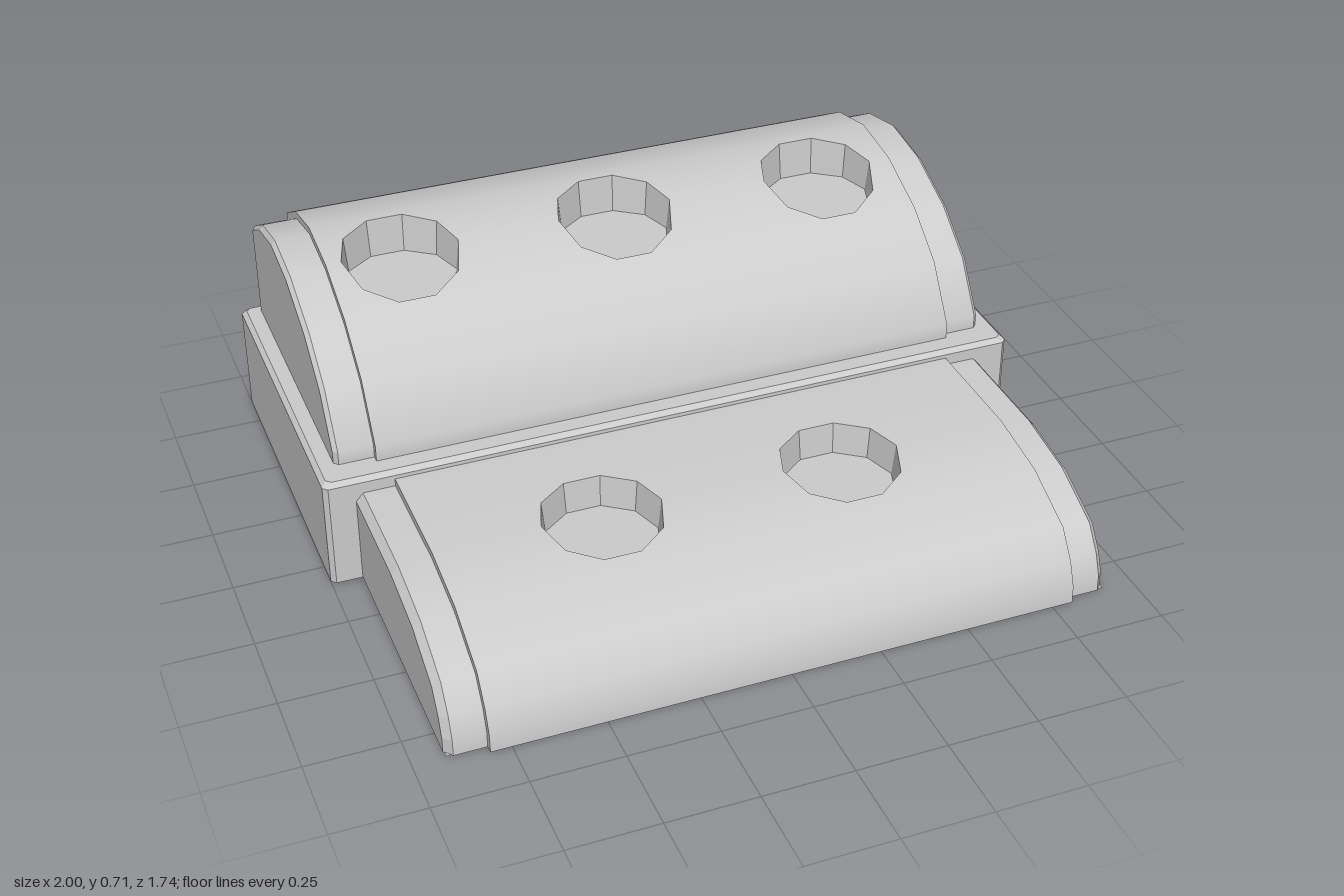
import * as THREE from 'three';

const V = (x, y, z) => new THREE.Vector3(x, y, z);
const R = 0.165, TAPER = 0.94;                 // ten-sided pocket radius and wall taper
const S36 = Math.sin(Math.PI / 5), S72 = Math.sin(Math.PI / 2.5);
const C36 = Math.cos(Math.PI / 5), C72 = Math.cos(Math.PI / 2.5);

const material = new THREE.MeshStandardMaterial({ color: 0xcccccc, side: THREE.DoubleSide });

// Collects convex faces; each face is wound to agree with its outward hint.
class Faces {
  constructor() { this.pos = []; this.nor = []; }
  add(pts, hint, normals) {
    for (let i = 1; i + 1 < pts.length; i++) {
      const ids = [0, i, i + 1];
      const [a, b, c] = ids.map(k => pts[k]);
      const n = b.clone().sub(a).cross(c.clone().sub(a));
      if (n.lengthSq() < 1e-14) continue;
      n.normalize();
      if (n.dot(hint) < 0) { n.negate(); ids.reverse(); }
      for (const k of ids) {
        this.pos.push(...pts[k].toArray());
        this.nor.push(...(normals ? normals[k] : n).toArray());
      }
    }
  }
  mesh(name) {
    const g = new THREE.BufferGeometry();
    g.setAttribute('position', new THREE.Float32BufferAttribute(this.pos, 3));
    g.setAttribute('normal', new THREE.Float32BufferAttribute(this.nor, 3));
    const m = new THREE.Mesh(g, material);
    m.name = name;
    return m;
  }
}

// Outward normals of a [z, y] profile running from front to back.
function segmentNormals(p) {
  return p.slice(1).map((q, i) => V(0, p[i][0] - q[0], q[1] - p[i][1]).normalize());
}

// Profile moved inward by d; the ends stay on their base lines.
function inset(p, d) {
  const ns = segmentNormals(p);
  return p.map(([z, y], i) => {
    const a = ns[Math.max(i - 1, 0)], b = ns[Math.min(i, ns.length - 1)];
    const m = a.clone().add(b);
    m.multiplyScalar(d / (1 + a.dot(b)));
    return [z - m.z, y - m.y];
  });
}

// Half width of a ten-sided pocket at distance dz from its centre.
function halfWidth(dz) {
  const s = Math.abs(dz) / R;
  if (s <= S36) return R * (1 + (C36 - 1) * s / S36);
  return R * (C36 + (C72 - C36) * (s - S36) / (S72 - S36));
}

// Curved surface between x0 and x1, cut by a row of pockets.
function skin(f, profile, x0, x1, holes, cz, floor) {
  const ns = segmentNormals(profile);
  const blend = (i, j) => ns[j] && ns[i].dot(ns[j]) > 0.72
    ? ns[i].clone().add(ns[j]).normalize() : ns[i].clone();
  const levels = [-S72, -S36, 0, S36, S72].map(s => cz + s * R);
  ns.forEach((n, i) => {
    const [za, ya] = profile[i], [zb, yb] = profile[i + 1];
    const na = blend(i, i - 1), nb = blend(i, i + 1);
    const ts = [0, 1];
    if (holes.length && Math.abs(zb - za) > 1e-6) {
      ts.push(...levels.map(z => (z - za) / (zb - za)).filter(t => t > 1e-5 && t < 1 - 1e-5));
    }
    ts.sort((a, b) => a - b);
    for (let k = 0; k + 1 < ts.length; k++) {
      const ends = [ts[k], ts[k + 1]].map(t => ({
        z: za + (zb - za) * t, y: ya + (yb - ya) * t, n: na.clone().lerp(nb, t).normalize()
      }));
      const [e, g] = ends;
      const cut = holes.length && Math.abs((e.z + g.z) / 2 - cz) < R * S72;
      const edges = [[x0, x0]];
      if (cut) for (const c of holes) {
        const w = ends.map(v => halfWidth(v.z - cz));
        edges.push([c - w[0], c - w[1]], [c + w[0], c + w[1]]);
        // pocket side walls
        for (const s of [-1, 1]) {
          const top = ends.map((v, j) => V(c + s * w[j], v.y, v.z));
          const low = ends.map((v, j) => V(c + s * w[j] * TAPER, floor, cz + (v.z - cz) * TAPER));
          f.add([top[0], top[1], low[1], low[0]], V(-s, 0, 0));
        }
      }
      edges.push([x1, x1]);
      for (let j = 0; j < edges.length; j += 2) {
        const [l, r] = [edges[j], edges[j + 1]];
        f.add([V(l[0], e.y, e.z), V(r[0], e.y, e.z), V(r[1], g.y, g.z), V(l[1], g.y, g.z)],
          n, [e.n, e.n, g.n, g.n]);
      }
    }
  });
}

function heightAt(p, z) {
  for (let i = 0; i + 1 < p.length; i++) {
    const [a, ya] = p[i], [b, yb] = p[i + 1];
    if (z <= a && z >= b && a - b > 1e-6) return ya + (yb - ya) * (z - a) / (b - a);
  }
  return 0;
}

// Pocket floors and the straight walls at their front and back.
function pockets(profile, holes, cz, floor, name) {
  const f = new Faces();
  for (const c of holes) {
    const ring = [];
    for (let k = 0; k < 10; k++) {
      const a = k * Math.PI / 5;
      ring.push(V(c + R * TAPER * Math.cos(a), floor, cz + R * TAPER * Math.sin(a)));
    }
    f.add(ring, V(0, 1, 0));
    for (const s of [-1, 1]) {
      const z = cz + s * R * S72, y = heightAt(profile, z), w = R * C72;
      const zl = cz + s * R * S72 * TAPER;
      f.add([V(c - w, y, z), V(c + w, y, z), V(c + w * TAPER, floor, zl), V(c - w * TAPER, floor, zl)],
        V(0, 0, -s));
    }
  }
  return f.mesh(name);
}

// Cushion-like cover: wide middle, lower end caps with a chamfered rim.
function cover(name, o) {
  const group = new THREE.Group();
  group.name = name;
  const outer = o.profile, mid = inset(outer, o.step), inner = inset(outer, o.rim);
  const body = new Faces();
  skin(body, outer, -o.bodyX, o.bodyX, o.holes, o.cz, o.floor);
  group.add(body.mesh(name + 'Body'), pockets(outer, o.holes, o.cz, o.floor, name + 'Pockets'));

  for (const s of [-1, 1]) {
    const cap = new Faces(), xc = s * (o.endX - o.chamfer), xe = s * o.endX;
    const ns = segmentNormals(mid);
    skin(cap, mid, Math.min(s * o.bodyX, xc), Math.max(s * o.bodyX, xc), []);
    const strip = (p, xp, q, xq) => ns.forEach((n, i) => cap.add([
      V(xp, p[i][1], p[i][0]), V(xp, p[i + 1][1], p[i + 1][0]),
      V(xq, q[i + 1][1], q[i + 1][0]), V(xq, q[i][1], q[i][0])], V(s, n.y * 0.3, n.z * 0.3)));
    strip(outer, s * o.bodyX, mid, s * o.bodyX);
    strip(mid, xc, inner, xe);
    const end = inner.map(([z, y]) => V(xe, y, z));
    if (o.corner) end.push(V(xe, o.corner[1], o.corner[0]));
    cap.add(end, V(s, 0, 0));
    group.add(cap.mesh(name + (s > 0 ? 'LeftCap' : 'RightCap')));
  }
  return group;
}

// Open tray frame: chamfered walls and a top lip around the rear cover.
function baseFrame() {
  const f = new Faces(), c = 0.013, zf = 0.083, zb = -0.868;
  const ring = (y, x, front, back, k) => [
    [x - k, front], [x, front - k], [x, back + k], [x - k, back],
    [-x + k, back], [-x, back + k], [-x, front - k], [-x + k, front]
  ].map(([px, pz]) => V(px, y, pz));
  const rings = [
    ring(0, 1, zf, zb, c), ring(0.32 - c, 1, zf, zb, c),
    ring(0.32, 1 - c, zf - c, zb + c, c), ring(0.32, 0.93, 0, -0.845, 0.001)
  ];
  for (let r = 0; r < 3; r++) for (let i = 0; i < 8; i++) {
    const j = (i + 1) % 8, a = rings[r], b = rings[r + 1];
    const m = a[i].clone().add(a[j]).multiplyScalar(0.5);
    const hint = r === 2 ? V(0, 1, 0) : V(m.x, 0.1, m.z - (zf + zb) / 2);
    f.add([a[i], a[j], b[j], b[i]], hint);
  }
  return f.mesh('baseFrame');
}

export function createModel() {
  const model = new THREE.Group();
  model.name = 'steppedHolder';
  model.add(baseFrame());

  // tall rear cover with three pockets
  model.add(cover('rearCover', {
    profile: [[0.02, 0.32], [0.02, 0.365], [-0.08, 0.515], [-0.22, 0.618], [-0.40, 0.69],
      [-0.575, 0.712], [-0.74, 0.675], [-0.866, 0.605], [-0.866, 0.32]],
    bodyX: 0.838, endX: 0.947, chamfer: 0.012, step: 0.02, rim: 0.032,
    holes: [-0.63, -0.01, 0.61], cz: -0.4, floor: 0.6
  }));

  // low front cover with two pockets
  model.add(cover('frontCover', {
    profile: [[0.868, 0], [0.866, 0.05], [0.84, 0.115], [0.785, 0.19], [0.615, 0.265],
      [0.42, 0.296], [0.08, 0.296]],
    bodyX: 0.807, endX: 0.915, chamfer: 0.02, step: 0.022, rim: 0.045,
    holes: [-0.35, 0.325], cz: 0.42, floor: 0.205, corner: [0.08, 0]
  }));

  // flat underside and back wall of the front cover
  const under = new Faces();
  const slab = (x0, x1, z) => under.add([V(x0, 0, 0.08), V(x1, 0, 0.08), V(x1, 0, z), V(x0, 0, z)], V(0, -1, 0));
  slab(-0.807, 0.807, 0.868);
  for (const s of [-1, 1]) slab(s * 0.807, s * 0.912, 0.842);
  under.add([V(-0.91, 0, 0.08), V(0.91, 0, 0.08), V(0.91, 0.25, 0.08), V(-0.91, 0.25, 0.08)], V(0, 0, -1));
  model.add(under.mesh('frontUnderside'));
  return model;
}
